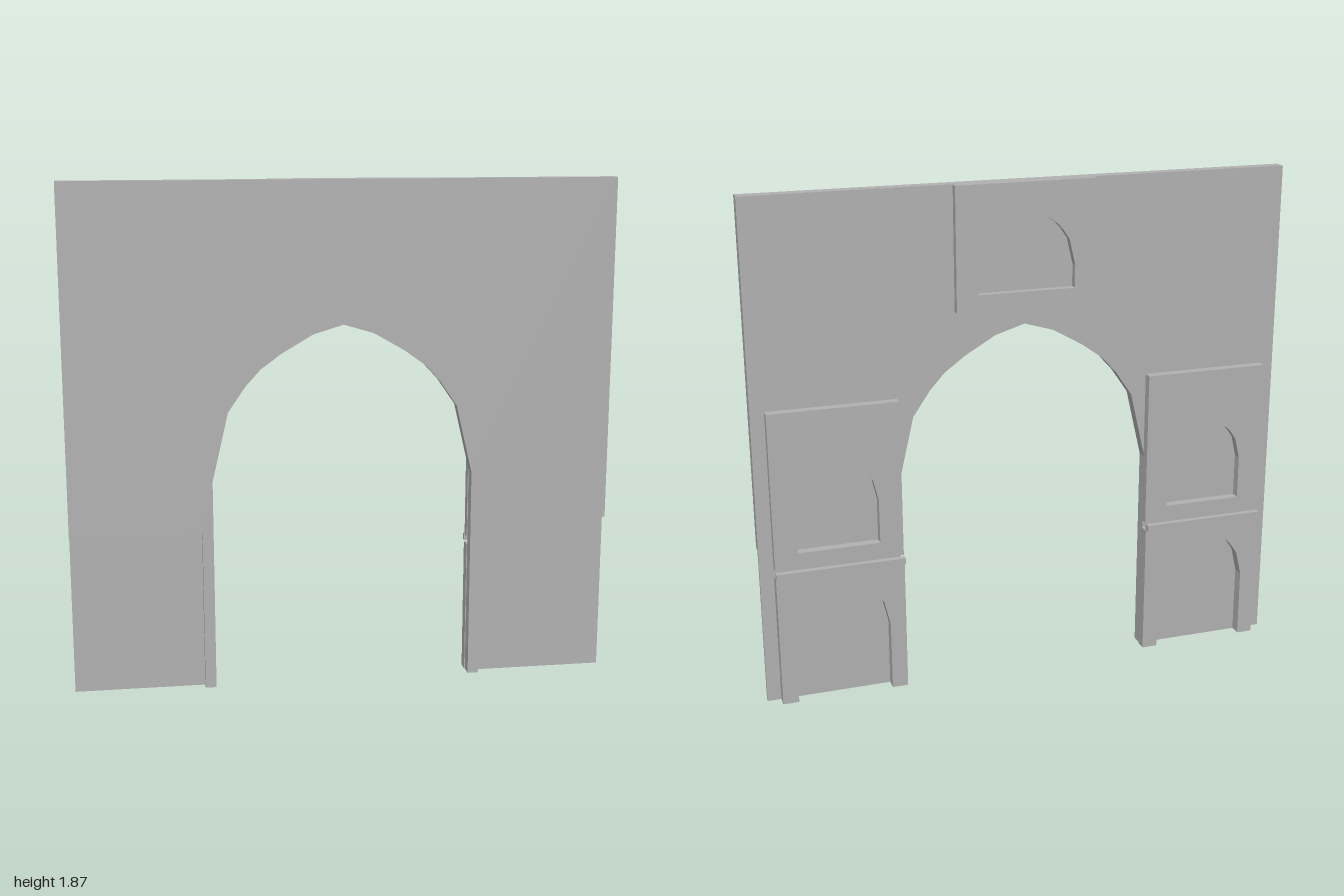
import * as THREE from 'three';

// Right half of the pointed arch: spring, shoulder, curve up to the apex (unit half-width 0.48)
const ARCH = [[0.48, 0], [0.42, 0.255], [0.355, 0.35], [0.3, 0.41], [0.225, 0.465], [0.11, 0.532], [0, 0.565]];

// Full arch from right foot over the apex to the left foot
function archPoints(cx, halfWidth, bottom, apex) {
  const k = halfWidth / 0.48;
  const spring = apex - 0.565 * k;
  const right = ARCH.map(([x, y]) => [x * k, spring + y * k]);
  const left = right.slice(0, -1).reverse().map(([x, y]) => [-x, y]);
  return [[halfWidth, bottom], ...right, ...left, [-halfWidth, bottom]]
    .map(([x, y]) => new THREE.Vector2(cx + x, y));
}

const vec = (list) => list.map(([x, y]) => new THREE.Vector2(x, y));

export function createModel() {
  const model = new THREE.Group();
  model.name = 'archedWall';
  const stone = new THREE.MeshStandardMaterial({ color: 0xb0b0b0 });
  stone.name = 'grey stone';

  // Extrude an outline between two depths
  function slab(name, shape, zBack, zFront) {
    const geo = new THREE.ExtrudeGeometry(shape, { depth: zFront - zBack, bevelEnabled: false });
    geo.translate(0, 0, zBack);
    const mesh = new THREE.Mesh(geo, stone);
    mesh.name = name;
    model.add(mesh);
  }

  // Panel with an arched niche, either closed by a sill or open at the floor
  function nichePanel(name, cx, half, y0, y1, zBack, niche) {
    const arch = archPoints(cx, niche.half, niche.bottom, niche.apex);
    const corners = vec([[cx + half, y0], [cx + half, y1], [cx - half, y1], [cx - half, y0]]);
    let shape;
    if (niche.bottom > y0) {
      shape = new THREE.Shape(corners);
      shape.holes.push(new THREE.Path(arch));
    } else {
      shape = new THREE.Shape([...corners, ...arch.reverse()]);
    }
    slab(name, shape, zBack, 0.008);
  }

  // Wall: thin back layer, and a front layer with the lower outer corners cut away
  const opening = archPoints(0, 0.48, 0, 1.355).reverse();
  const top = [[1, 1.87], [-1, 1.87]];
  slab('wallBack', new THREE.Shape([...vec([[1, 0], ...top, [-1, 0]]), ...opening]), 0.008, 0.023);
  slab('wallFront', new THREE.Shape([
    ...vec([[0.52, 0], [0.52, 0.6], [1, 0.6], ...top, [-1, 0.6], [-0.52, 0.6], [-0.52, 0]]),
    ...opening,
  ]), 0.023, 0.054);

  // Niche panel above the opening
  nichePanel('topPanel', 0, 0.26, 1.42, 1.87, -0.022, { half: 0.18, bottom: 1.48, apex: 1.775 });

  // Stacked niche panels and the ledge on each side
  for (const [side, s] of [['left', 1], ['right', -1]]) {
    const cx = s * 0.713;
    nichePanel(side + 'LowerPanel', cx, 0.236, 0, 0.5, -0.035, { half: 0.177, bottom: 0, apex: 0.47 });
    nichePanel(side + 'UpperPanel', cx, 0.236, 0.53, 1.12, -0.026, { half: 0.15, bottom: 0.59, apex: 0.93 });
    const ledge = new THREE.Mesh(new THREE.BoxGeometry(0.472, 0.024, 0.022), stone);
    ledge.name = side + 'Ledge';
    ledge.position.set(cx, 0.516, -0.043);
    model.add(ledge);
  }
  return model;
}
